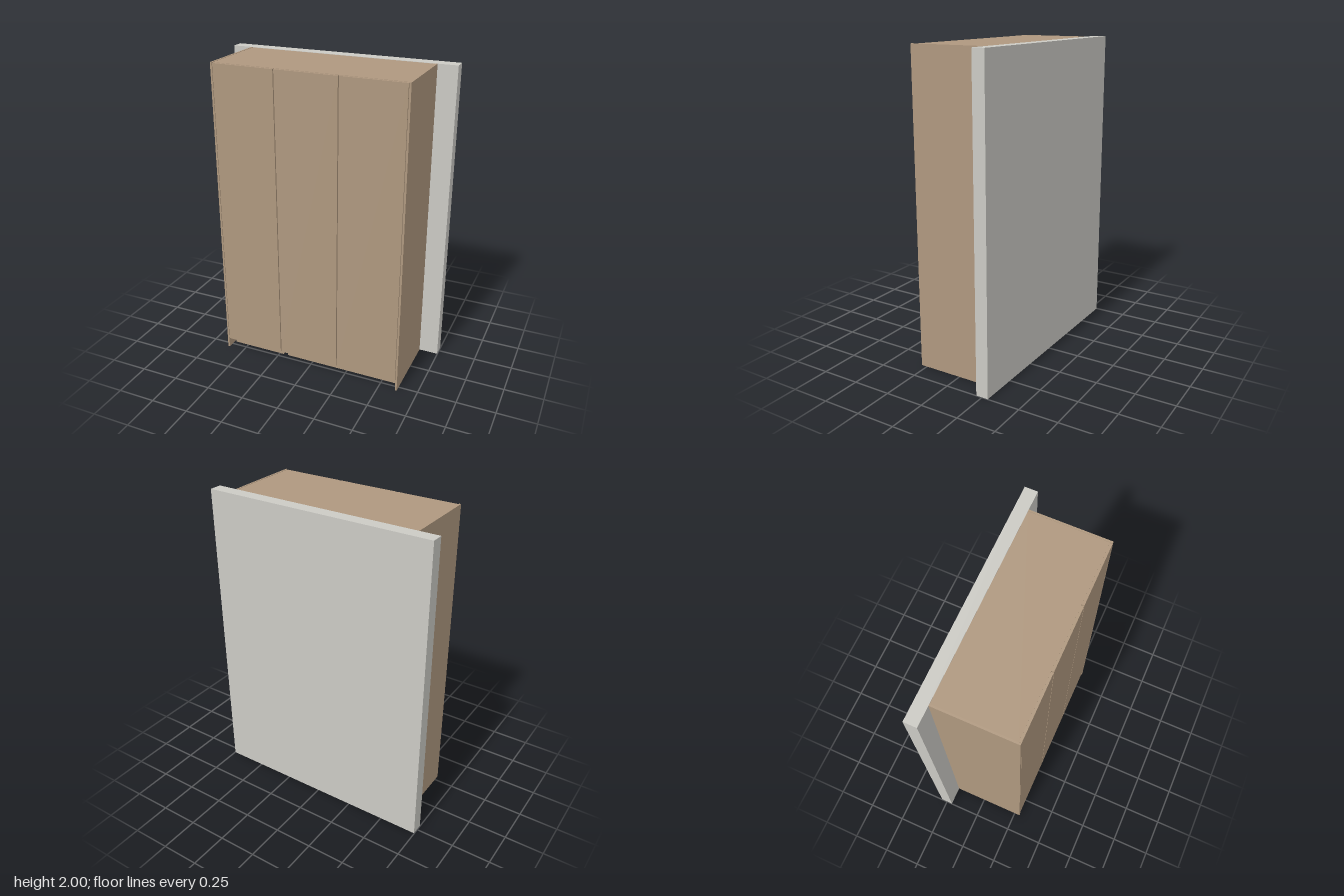
import * as THREE from 'three';

export function createModel() {
  const group = new THREE.Group();
  const wood = new THREE.MeshStandardMaterial({ color: 0xaf987f });
  const plaster = new THREE.MeshStandardMaterial({ color: 0xcbcac4 });

  // Box given by its extents along each axis
  function panel(name, [x0, x1], [y0, y1], [z0, z1], material = wood) {
    const mesh = new THREE.Mesh(new THREE.BoxGeometry(x1 - x0, y1 - y0, z1 - z0), material);
    mesh.name = name;
    mesh.position.set((x0 + x1) / 2, (y0 + y1) / 2, (z0 + z1) / 2);
    group.add(mesh);
  }

  const W = 0.622, T = 0.012, inner = W - T;
  const back = -0.21, front = 0.29, doorBack = 0.275, floor = 0.07;

  // Wall slab behind the wardrobe
  panel('wall', [-0.748, 0.748], [0, 2], [-0.29, back], plaster);

  // Carcass: the sides run down to the ground
  panel('rightSide', [-W, -inner], [0, 2], [back, front]);
  panel('leftSide', [inner, W], [0, 2], [back, front]);
  panel('topPanel', [-inner, inner], [1.982, 1.998], [back, doorBack]);
  panel('bottomPanel', [-inner, inner], [floor, floor + 0.016], [back, doorBack - 0.002]);
  panel('backPanel', [-inner, inner], [floor + 0.016, 1.982], [back, back + 0.008]);

  // Dividers behind the door seams
  const seams = [-0.204, 0.202];
  for (const x of seams) {
    panel('divider', [x - 0.008, x + 0.008], [floor + 0.016, 1.982], [back + 0.008, doorBack - 0.002]);
  }

  // Three inset doors with narrow gaps
  const edges = [-inner, ...seams, inner];
  for (let i = 0; i < 3; i++) {
    panel('door', [edges[i] + 0.003, edges[i + 1] - 0.003], [floor, 1.996], [doorBack, front]);
  }

  // Recessed plinth boards, open at the ends and between them
  for (const span of [[-0.598, -0.22], [-0.19, 0.598]]) {
    panel('plinth', span, [0, floor], [0.207, 0.22]);
  }

  return group;
}
